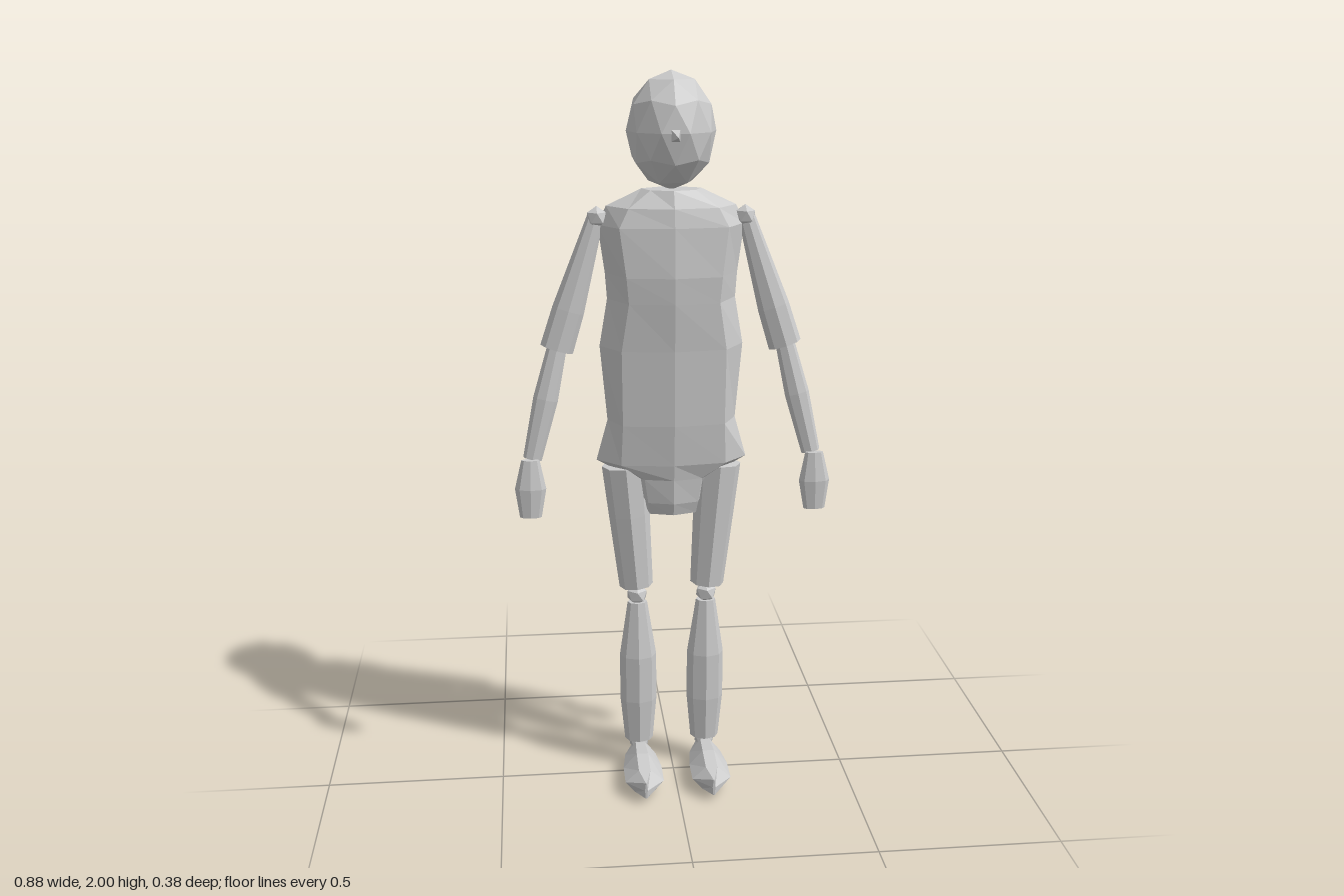
import * as THREE from 'three';

const V = (x, y, z) => new THREE.Vector3(x, y, z);

// Skin a list of equal-length rings and cap both ends
function loft(rings) {
  const n = rings[0].length, idx = [], pos = [];
  const middle = r => r.reduce((s, p) => s.add(p), V(0, 0, 0)).divideScalar(n);
  rings.flat().forEach(p => pos.push(p.x, p.y, p.z));
  for (const r of [rings[0], rings[rings.length - 1]]) pos.push(...middle(r).toArray());
  const c0 = rings.length * n, last = c0 - n;
  for (let j = 0; j < n; j++) {
    const k = (j + 1) % n;
    for (let i = 0; i < rings.length - 1; i++) {
      const a = i * n + j, b = i * n + k;
      idx.push(a, b, a + n, b, b + n, a + n);
    }
    idx.push(c0, k, j, c0 + 1, last + j, last + k);
  }
  const g = new THREE.BufferGeometry();
  g.setAttribute('position', new THREE.Float32BufferAttribute(pos, 3));
  g.setIndex(idx);
  const flat = g.toNonIndexed();
  flat.computeVertexNormals();
  return flat;
}

// Icosahedral ball with one vertex at the top
function ball(detail, rx, ry, rz) {
  const g = new THREE.IcosahedronGeometry(1, detail);
  g.rotateZ(Math.atan(2 / (1 + Math.sqrt(5))));
  g.rotateY(Math.PI / 2);
  g.scale(rx, ry, rz);
  g.computeVertexNormals();
  return g;
}

export function createModel() {
  const group = new THREE.Group();
  const grey = new THREE.MeshStandardMaterial({ color: 0xcccccc });
  grey.name = 'grey';
  grey.flatShading = true;

  const add = (name, geometry, at = V(0, 0, 0)) => {
    const m = new THREE.Mesh(geometry, grey);
    m.name = name;
    m.position.copy(at);
    group.add(m);
    return m;
  };

  // Eight-sided limb from a (low end) to b; profile is [t, radius], depth scales z
  const limb = (name, a, b, profile, depth) => {
    const dir = b.clone().sub(a), len = dir.length();
    const pts = [[profile[0][0], 0], ...profile, [profile[profile.length - 1][0], 0]]
      .map(([t, r]) => new THREE.Vector2(r, t * len));
    const g = new THREE.LatheGeometry(pts, 8);
    g.scale(1, 1, depth);
    add(name, g, a).quaternion.setFromUnitVectors(V(0, 1, 0), dir.normalize());
  };

  // Head and nose
  add('head', ball(1, 0.12, 0.155, 0.133), V(0, 1.845, -0.056));
  const nose = new THREE.ConeGeometry(0.018, 0.075, 4);
  nose.rotateY(Math.PI / 4);
  nose.rotateX(Math.PI / 2);
  nose.scale(1, 1.3, 1);
  add('nose', nose, V(0, 1.84, 0.0975));

  // Torso rings: y, half widths at front, side and back, front z, back z
  const torso = [
    [0.795, 0.065, 0.07, 0.065, 0.01, -0.13],
    [0.83, 0.07, 0.085, 0.11, 0.02, -0.165],
    [0.9, 0.08, 0.13, 0.155, 0.025, -0.188],
    [0.945, 0.145, 0.21, 0.16, 0.032, -0.175],
    [1.06, 0.14, 0.178, 0.14, 0.042, -0.13],
    [1.27, 0.142, 0.197, 0.14, 0.05, -0.135],
    [1.4, 0.122, 0.175, 0.13, 0.06, -0.147],
    [1.47, 0.128, 0.18, 0.13, 0.063, -0.15],
    [1.6, 0.145, 0.198, 0.15, 0.052, -0.15],
    [1.65, 0.12, 0.175, 0.125, 0.042, -0.135],
    [1.695, 0.06, 0.08, 0.055, 0.02, -0.105],
  ].map(([y, wf, ws, wb, zf, zb]) => [
    V(0, y, zf), V(wf, y, zf - 0.02), V(ws, y, -0.055), V(wb, y, zb + 0.035),
    V(0, y, zb), V(-wb, y, zb + 0.035), V(-ws, y, -0.055), V(-wf, y, zf - 0.02),
  ]);
  add('torso', loft(torso));

  // Foot sections from heel to toe: z, half width, bottom, widest and top heights
  const foot = loft([
    [-0.08, 0.022, 0.02, 0.04, 0.065],
    [-0.02, 0.045, 0.008, 0.04, 0.078],
    [0.06, 0.055, 0, 0.042, 0.085],
    [0.14, 0.055, 0.008, 0.04, 0.075],
    [0.197, 0.004, 0.018, 0.042, 0.066],
  ].map(([z, w, lo, mid, hi]) => [
    V(w, mid, z), V(w * 0.3, hi, z), V(-w * 0.3, hi, z),
    V(-w, mid, z), V(-w * 0.5, lo, z), V(w * 0.5, lo, z),
  ]));

  for (const [side, s] of [['left', 1], ['right', -1]]) {
    // Arm
    add(side + 'Shoulder', ball(0, 0.03, 0.03, 0.034), V(s * 0.2, 1.62, -0.055));
    limb(side + 'UpperArm', V(s * 0.314, 1.265, -0.046), V(s * 0.203, 1.62, -0.054),
      [[0, 0.046], [0.3, 0.044], [1, 0.023]], 0.72);
    add(side + 'Elbow', ball(0, 0.025, 0.025, 0.022), V(s * 0.315, 1.26, -0.042));
    limb(side + 'Forearm', V(s * 0.388, 0.965, -0.014), V(s * 0.315, 1.265, -0.04),
      [[0, 0.026], [0.55, 0.034], [1, 0.027]], 0.75);
    add(side + 'Wrist', ball(0, 0.02, 0.02, 0.018), V(s * 0.39, 0.955, -0.008));
    limb(side + 'Hand', V(s * 0.397, 0.805, 0.013), V(s * 0.394, 0.968, 0.008),
      [[0, 0.03], [0.5, 0.043], [1, 0.025]], 0.52);

    // Leg
    limb(side + 'Thigh', V(s * 0.102, 0.568, -0.05), V(s * 0.132, 0.93, -0.053),
      [[0, 0.048], [0.6, 0.058], [1, 0.064]], 0.98);
    add(side + 'Knee', ball(0, 0.032, 0.03, 0.036), V(s * 0.1, 0.537, -0.053));
    limb(side + 'Calf', V(s * 0.097, 0.08, -0.052), V(s * 0.099, 0.515, -0.052),
      [[0, 0.041], [0.3, 0.053], [0.62, 0.053], [1, 0.028]], 0.82);
    add(side + 'Ankle', ball(0, 0.032, 0.03, 0.03), V(s * 0.097, 0.07, -0.05));
    add(side + 'Foot', foot, V(s * 0.096, 0, 0));
  }
  return group;
}
